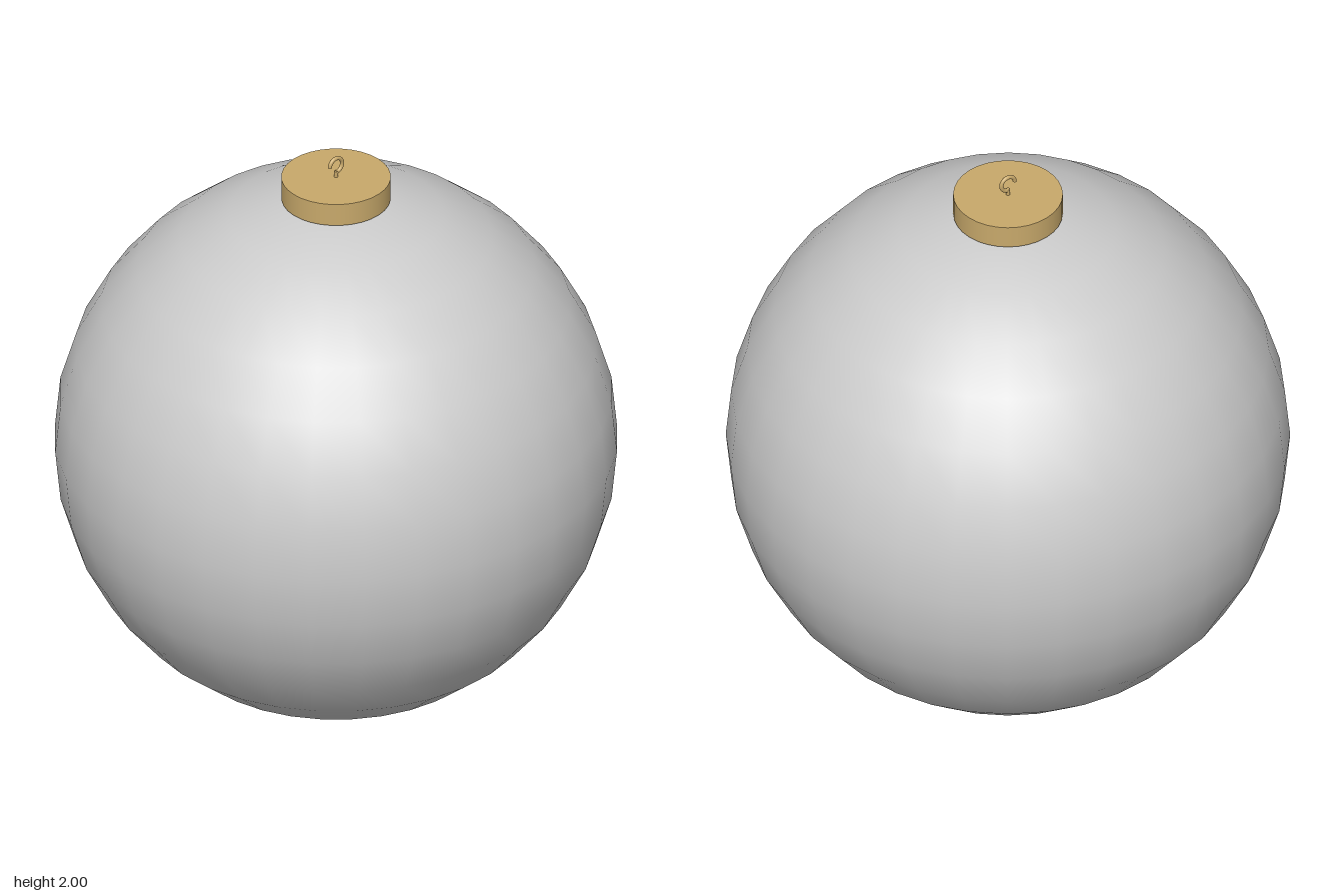
import * as THREE from 'three';

const RADIUS = 0.926;

export function createModel() {
  const model = new THREE.Group();
  const grey = new THREE.MeshStandardMaterial({ color: 0xcccccc });
  const gold = new THREE.MeshStandardMaterial({ color: 0xc8a96b });

  const add = (name, geometry, material, y) => {
    const mesh = new THREE.Mesh(geometry, material);
    mesh.name = name;
    mesh.position.y = y;
    model.add(mesh);
    return mesh;
  };

  // Round bauble body
  add('ball', new THREE.SphereGeometry(RADIUS, 32, 16), grey, RADIUS);

  // Flat metal cap on the crown
  add('cap', new THREE.CylinderGeometry(0.18, 0.18, 0.08, 32), gold, 1.884);

  // Hanging hook: short stem, then three quarters of a ring, open at lower left
  const ringRadius = 0.026, wire = 0.007, ringY = 1.967;
  add('hookStem', new THREE.CylinderGeometry(wire, wire, 0.03, 12), gold, 1.931);
  const hook = add('hookRing', new THREE.TorusGeometry(ringRadius, wire, 12, 32, Math.PI * 1.5), gold, ringY);
  hook.rotation.z = -Math.PI / 2;

  // Closed ends of the hook wire
  const tip = add('hookTip', new THREE.CircleGeometry(wire, 12), gold, ringY);
  tip.position.x = -ringRadius;
  tip.rotation.x = Math.PI / 2;
  const root = add('hookRoot', new THREE.CircleGeometry(wire, 12), gold, ringY - ringRadius);
  root.rotation.y = -Math.PI / 2;

  return model;
}
